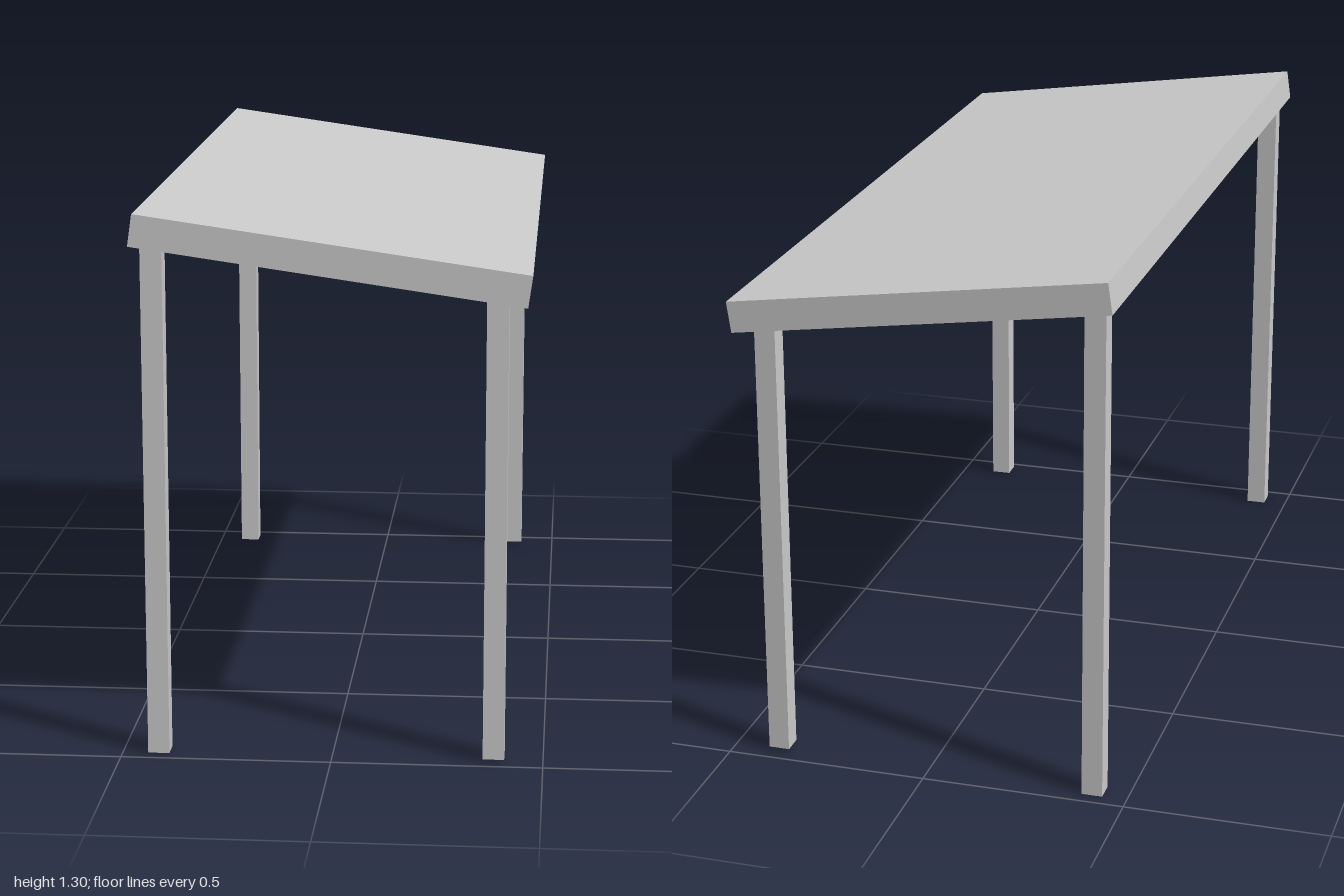
import * as THREE from 'three';

export function createModel() {
  const group = new THREE.Group();
  group.name = 'leanToShelter';
  const material = new THREE.MeshStandardMaterial({ color: 0xcccccc, flatShading: true });

  const addBox = (name, w, h, d, x, y, z) => {
    const mesh = new THREE.Mesh(new THREE.BoxGeometry(w, h, d), material);
    mesh.name = name;
    mesh.position.set(x, y, z);
    group.add(mesh);
    return mesh;
  };

  // Sloping roof slab, higher on the -x side
  const roof = addBox('roof', 0.923, 0.076, 2, 0, 1.2, 0);
  roof.rotation.z = -Math.atan2(0.13, 0.914);

  // Four square posts, their tops let slightly into the slab
  const postSize = 0.051;
  const addPost = (name, x, z, bottom, top) =>
    addBox(name, postSize, top - bottom, postSize, x, (top + bottom) / 2, z);

  for (const [end, z, lift] of [['front', 0.941, 0.005], ['back', -0.941, 0.01]]) {
    addPost(`${end}RightPost`, -0.414, z, 0, 1.235);
    addPost(`${end}LeftPost`, 0.383, z, lift, 1.12);
  }

  return group;
}
